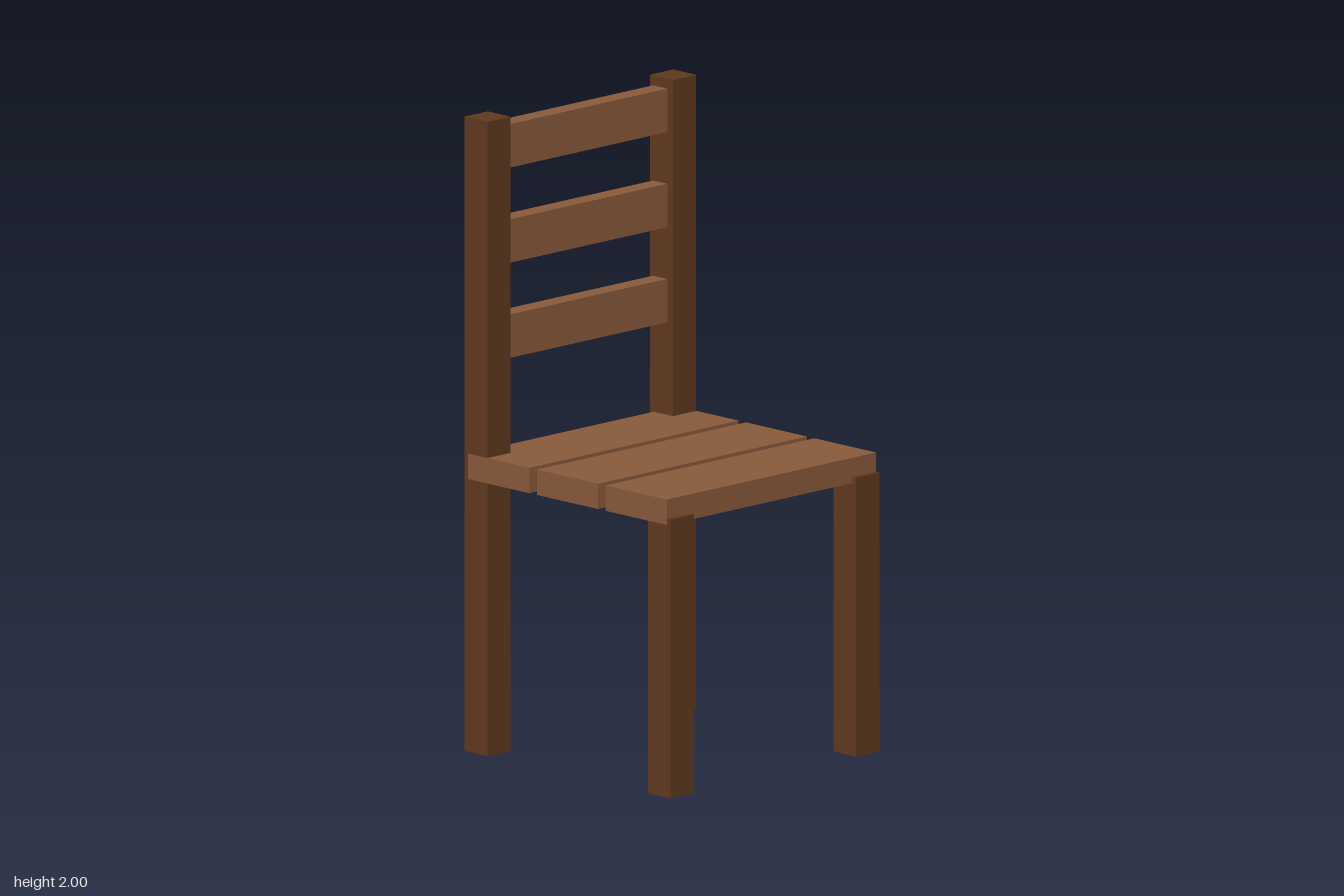
import * as THREE from 'three';

export function createModel() {
  const chair = new THREE.Group();
  chair.name = 'chair';

  const darkWood = new THREE.MeshStandardMaterial({ color: 0x613920 });
  darkWood.name = 'dark wood';
  const lightWood = new THREE.MeshStandardMaterial({ color: 0x8a5a3b });
  lightWood.name = 'light wood';

  const addBox = (name, size, position, material) => {
    const mesh = new THREE.Mesh(new THREE.BoxGeometry(...size), material);
    mesh.name = name;
    mesh.position.set(...position);
    chair.add(mesh);
  };

  // Short front legs and tall back posts, mirrored left and right
  for (const [side, x] of [['left', 0.4], ['right', -0.4]]) {
    addBox(`${side}FrontLeg`, [0.1, 0.88, 0.1], [x, 0.44, 0.4], darkWood);
    addBox(`${side}BackPost`, [0.1, 2, 0.1], [x, 1, -0.4], darkWood);
  }

  // Seat planks, a hair wider than the legs so their ends stay visible
  [-0.3, 0, 0.3].forEach((z, i) => {
    addBox(`seatPlank${i + 1}`, [0.902, 0.08, 0.268], [0, 0.9, z], lightWood);
  });

  // Backrest rails between the posts
  [1.3, 1.6, 1.9].forEach((y, i) => {
    addBox(`backRail${i + 1}`, [0.7, 0.137, 0.062], [0, y, -0.406], lightWood);
  });

  return chair;
}
